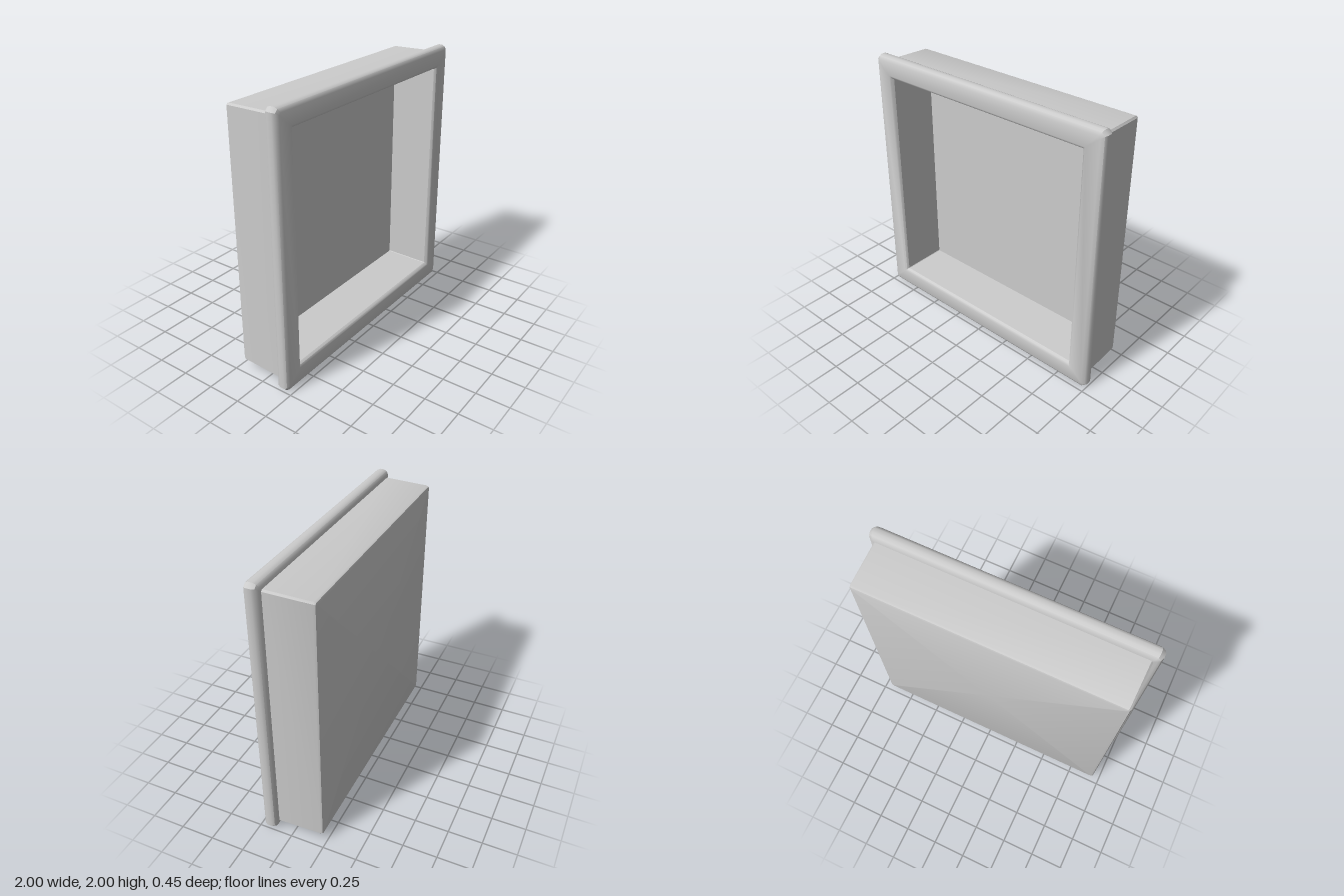
import * as THREE from 'three';
import { toCreasedNormals } from 'three/addons/utils/BufferGeometryUtils.js';

// One square cross-section: half-size h, corner cut c, depth z (anticlockwise from the front)
function ring([h, c, z]) {
  const k = h - c;
  return [[h, -k], [h, k], [k, h], [-k, h], [-h, k], [-h, -k], [-k, -h], [k, -h]]
    .map(([x, y]) => [x, y + 1, z]);
}

// Skin consecutive square rings; a ring of half-size 0 closes the surface
function loft(name, sections, material) {
  const positions = [];
  for (let s = 0; s < sections.length - 1; s++) {
    const a = ring(sections[s]), b = ring(sections[s + 1]);
    for (let i = 0; i < 8; i++) {
      const j = (i + 1) % 8;
      if (sections[s][0] > 0) positions.push(...a[i], ...a[j], ...b[j]);
      if (sections[s + 1][0] > 0) positions.push(...a[i], ...b[j], ...b[i]);
    }
  }
  const geometry = new THREE.BufferGeometry();
  geometry.setAttribute('position', new THREE.Float32BufferAttribute(positions, 3));
  const mesh = new THREE.Mesh(toCreasedNormals(geometry, 0.65), material);
  mesh.name = name;
  return mesh;
}

export function createModel() {
  const model = new THREE.Group();
  model.name = 'recessedWallNiche';
  const material = new THREE.MeshStandardMaterial({ color: 0xcccccc });

  // Outer box: flat back, softened back edge, slightly tapered sides
  model.add(loft('outerBox', [
    [0, 0, -0.225], [0.925, 0.008, -0.225], [0.939, 0.01, -0.219],
    [0.945, 0.012, -0.205], [0.952, 0.012, 0.12],
  ], material));

  // Rounded flange around the opening
  model.add(loft('flange', [
    [0.952, 0.012, 0.12], [0.972, 0.015, 0.125], [0.99, 0.02, 0.138], [1, 0.028, 0.16],
    [1, 0.028, 0.192], [0.99, 0.022, 0.212], [0.968, 0.015, 0.225],
    [0.868, 0.004, 0.225], [0.853, 0.004, 0.217], [0.843, 0.004, 0.2],
  ], material));

  // Inner walls and back panel of the recess
  model.add(loft('recess', [
    [0.843, 0.004, 0.2], [0.835, 0.004, -0.145], [0, 0, -0.145],
  ], material));

  return model;
}
